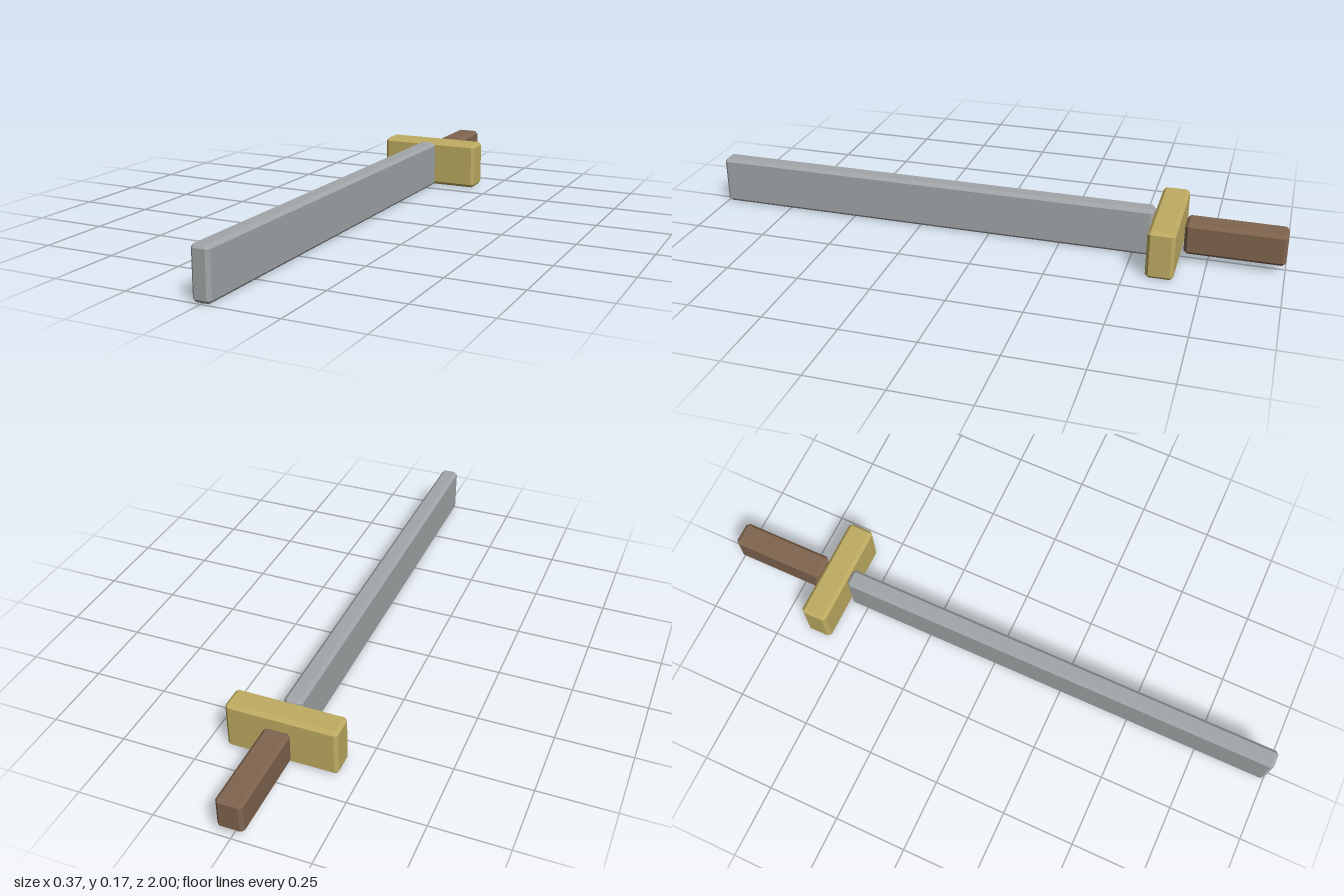
import * as THREE from 'three';
import { ConvexGeometry } from 'three/addons/geometries/ConvexGeometry.js';

const BEVEL = 0.011;

// Box with flat chamfered edges and triangular corners
function chamferedBox(w, h, d, c) {
  const half = [w / 2, h / 2, d / 2];
  const points = [];
  for (const sx of [-1, 1]) for (const sy of [-1, 1]) for (const sz of [-1, 1]) {
    for (let face = 0; face < 3; face++) {
      const [x, y, z] = half.map((s, axis) => (axis === face ? s : s - c));
      points.push(new THREE.Vector3(sx * x, sy * y, sz * z));
    }
  }
  return new ConvexGeometry(points);
}

function flatMaterial(name, color) {
  const material = new THREE.MeshStandardMaterial({ color });
  material.name = name;
  return material;
}

export function createModel() {
  const group = new THREE.Group();
  group.name = 'sword';

  const steel = flatMaterial('steel grey', 0xa2a6a8);
  const brass = flatMaterial('brass yellow', 0xbfac62);
  const wood = flatMaterial('wood brown', 0x80654f);

  // Each part spans the given half width, height range and depth range
  function addPart(name, material, halfWidth, [y0, y1], [z0, z1]) {
    const mesh = new THREE.Mesh(chamferedBox(halfWidth * 2, y1 - y0, z1 - z0, BEVEL), material);
    mesh.name = name;
    mesh.position.set(0, (y0 + y1) / 2, (z0 + z1) / 2);
    group.add(mesh);
  }

  addPart('blade', steel, 0.031, [0, 0.167], [-0.565, 1]);
  addPart('crossGuard', brass, 0.185, [0, 0.167], [-0.659, -0.568]);
  addPart('grip', wood, 0.043, [0.03, 0.141], [-1, -0.671]);

  return group;
}
